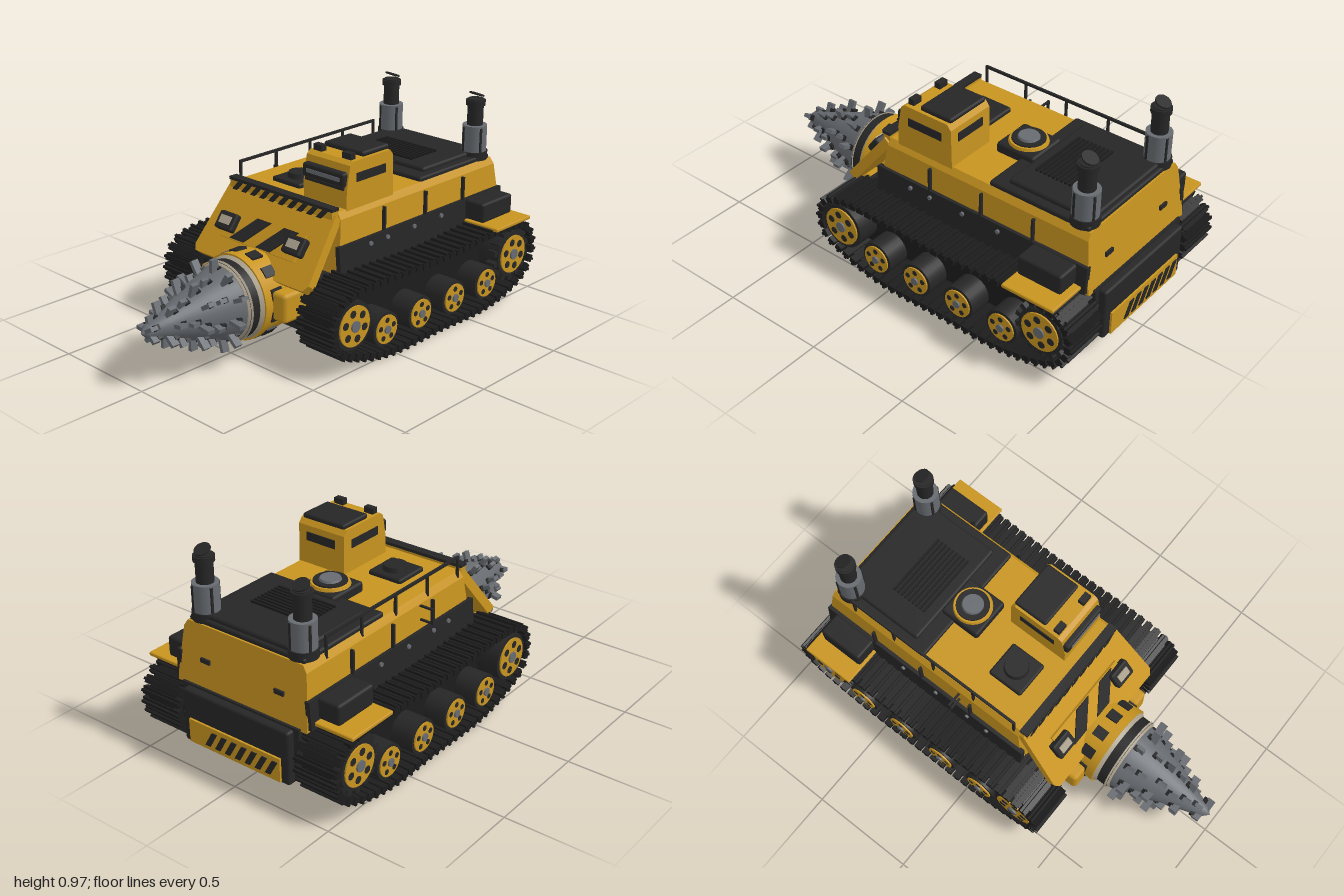
import * as THREE from 'three';
import { mergeGeometries } from 'three/addons/utils/BufferGeometryUtils.js';
import { RoundedBoxGeometry } from 'three/addons/geometries/RoundedBoxGeometry.js';

const mat = (name, color, side = THREE.FrontSide) => {
  const m = new THREE.MeshStandardMaterial({ color, side });
  m.name = name;
  return m;
};

export function createModel() {
  const yellow = mat('yellow paint', 0xc8941f);
  const black = mat('black steel', 0x262627);
  const rubber = mat('track black', 0x1c1c1d);
  const steel = mat('grey steel', 0x676b70);
  const lamp = mat('lamp glass', 0xaaa08c);
  const root = new THREE.Group();

  const add = (name, geo, m, x = 0, y = 0, z = 0, parent = root) => {
    const mesh = new THREE.Mesh(geo, m);
    mesh.name = name;
    mesh.position.set(x, y, z);
    parent.add(mesh);
    return mesh;
  };
  // box given by its limits
  const box = (name, m, x0, x1, y0, y1, z0, z1, r = 0, parent = root) => {
    const s = [x1 - x0, y1 - y0, z1 - z0];
    const g = r ? new RoundedBoxGeometry(...s, 1, r) : new THREE.BoxGeometry(...s);
    return add(name, g, m, (x0 + x1) / 2, (y0 + y1) / 2, (z0 + z1) / 2, parent);
  };
  const extrude = (pts, depth) => new THREE.ExtrudeGeometry(
    new THREE.Shape(pts.map(p => new THREE.Vector2(...p))), { depth, bevelEnabled: false });
  // side profile [z, y] extruded across x, centred
  const across = (pts, w) => extrude(pts, w).rotateY(-Math.PI / 2).translate(w / 2, 0, 0);
  const slant = (x, y, w, h, shift) => extrude([[x, y], [x + w, y], [x + w + shift, y + h], [x + shift, y + h]], 0.007);
  const cylX = (r, w, n = 24) => new THREE.CylinderGeometry(r, r, w, n).rotateZ(Math.PI / 2);
  const ring = (r0, r1, len, n = 40) => new THREE.CylinderGeometry(r1, r0, len, n).rotateX(Math.PI / 2);

  // hull: trapezoid section, ends leaning inwards
  const hullGeo = extrude([[-0.35, 0.36], [0.35, 0.36], [0.352, 0.4], [0.33, 0.61], [0.31, 0.64],
    [-0.31, 0.64], [-0.33, 0.61], [-0.352, 0.4]], 1.13).translate(0, 0, -0.94);
  const hp = hullGeo.attributes.position;
  for (let i = 0; i < hp.count; i++) {
    const k = (hp.getY(i) - 0.36) * 0.13;
    hp.setZ(i, hp.getZ(i) + (hp.getZ(i) < -0.5 ? k : -k));
  }
  hullGeo.computeVertexNormals();
  add('hull', hullGeo, yellow);
  add('belly', extrude([[-0.27, 0.105], [0.27, 0.105], [0.295, 0.13], [0.32, 0.37], [-0.32, 0.37], [-0.295, 0.13]], 1.24)
    .translate(0, 0, -0.95), black);

  // rear apron with striped plate
  box('rearApron', black, -0.29, 0.29, 0.11, 0.36, -0.985, -0.93, 0.012);
  box('rearPlate', yellow, -0.25, 0.25, 0.12, 0.23, -0.995, -0.98);
  for (let i = 0; i < 7; i++)
    add('rearStripe', slant(-0.2 + i * 0.055, 0.14, 0.028, 0.07, -0.04), black, 0, 0, -1.0);
  for (const s of [-1, 1]) box('rearLatch', black, s * 0.2 - 0.025, s * 0.2 + 0.025, 0.48, 0.5, -0.932, -0.92);

  // sloping nose plate in its own tilted frame
  const nose = new THREE.Group();
  nose.name = 'nosePlate';
  nose.position.set(0, 0.5, 0.285);
  nose.rotation.x = -0.66;
  root.add(nose);
  add('noseSheet', extrude([[-0.335, -0.18], [0.335, -0.18], [0.355, -0.15], [0.325, 0.17], [-0.325, 0.17], [-0.355, -0.15]], 0.045),
    yellow, 0, 0, -0.045, nose);
  box('nosePanel', yellow, -0.23, 0.23, -0.08, 0.05, 0, 0.012, 0, nose);
  for (const x of [-0.165, 0]) add('noseStripe', slant(x, -0.076, 0.085, 0.122, 0.105), black, 0, 0, 0.01, nose);
  for (const s of [-1, 1]) {
    box('lampHousing', black, s * 0.21 - 0.055, s * 0.21 + 0.055, -0.055, 0.03, 0, 0.04, 0.01, nose);
    box('headlamp', lamp, s * 0.21 - 0.032, s * 0.21 + 0.032, -0.03, 0.008, 0.036, 0.046, 0, nose);
  }

  // striped brow above the nose
  box('brow', yellow, -0.315, 0.315, 0.6, 0.65, 0.155, 0.195);
  box('browCap', black, -0.318, 0.318, 0.65, 0.664, 0.155, 0.198);
  for (let i = 0; i < 10; i++)
    add('browStripe', slant(-0.305 + i * 0.058, 0.602, 0.03, 0.048, 0.045), black, 0, 0, 0.193);

  // cab
  const cx = 0.188;
  add('cab', across([[0.105, 0.63], [0.105, 0.72], [0.085, 0.83], [0.065, 0.845], [-0.17, 0.845], [-0.19, 0.82], [-0.195, 0.63]], 0.255), yellow, cx);
  box('cabRoof', black, 0.07, 0.303, 0.843, 0.868, -0.18, -0.01, 0.01);
  box('cabVisor', black, 0.062, 0.308, 0.735, 0.8, 0.06, 0.118, 0.012);
  box('cabSill', black, 0.075, 0.3, 0.722, 0.735, 0.08, 0.112);
  box('visorSlit', steel, 0.09, 0.285, 0.76, 0.778, 0.115, 0.121);
  for (const x of [0.057, 0.312]) box('cabSideWindow', black, x, x + 0.007, 0.75, 0.79, -0.14, 0.045);
  box('cabRearWindow', black, 0.11, 0.27, 0.75, 0.79, -0.196, -0.188);
  for (const x of [0.1, 0.27]) box('roofLamp', black, x - 0.025, x + 0.025, 0.845, 0.873, 0.03, 0.06);

  // engine deck and grille
  box('engineDeck', black, -0.31, 0.31, 0.63, 0.66, -0.895, -0.39, 0.01);
  box('engineCover', black, -0.27, 0.27, 0.65, 0.68, -0.88, -0.46, 0.012);
  for (let i = 0; i < 9; i++)
    box('grilleSlat', rubber, -0.155, 0.155, 0.678, 0.69, -0.69 + i * 0.021, -0.679 + i * 0.021);

  // sensor dome and roof hatch
  box('domeBase', black, -0.1, 0.1, 0.63, 0.685, -0.46, -0.26, 0.012);
  add('domeCollar', new THREE.CylinderGeometry(0.085, 0.092, 0.02, 28), yellow, 0, 0.688, -0.36);
  add('domeRing', new THREE.CylinderGeometry(0.075, 0.078, 0.02, 28), black, 0, 0.695, -0.36);
  add('dome', new THREE.CylinderGeometry(0.045, 0.055, 0.02, 28), steel, 0, 0.705, -0.36);
  box('hatchBase', black, -0.19, -0.015, 0.63, 0.66, -0.12, 0.055, 0.01);
  add('hatchLid', new THREE.CylinderGeometry(0.052, 0.058, 0.025, 28), black, -0.1, 0.67, -0.035);

  // handrail on the model's right
  box('handrail', black, -0.325, -0.314, 0.71, 0.722, -0.78, 0.13);
  for (let i = 0; i < 5; i++) {
    const z = 0.125 - i * 0.225;
    box('railPost', black, -0.325, -0.314, 0.61, 0.715, z - 0.005, z + 0.005);
  }
  // side bracket with two rungs
  box('sideBracketPost', black, -0.405, -0.395, 0.54, 0.61, -0.175, -0.165);
  for (const y of [0.54, 0.605]) box('sideBracketArm', black, -0.405, -0.335, y - 0.004, y + 0.004, -0.175, -0.165);

  // exhaust stacks
  for (const s of [-1, 1]) {
    const stack = new THREE.Group();
    stack.name = 'exhaustStack';
    stack.position.set(s * 0.26, 0, -0.84);
    root.add(stack);
    const pipe = (n, m, r, y0, y1) => add(n, new THREE.CylinderGeometry(r, r, y1 - y0, 24), m, 0, (y0 + y1) / 2, 0, stack);
    pipe('stackFoot', black, 0.064, 0.64, 0.68);
    pipe('muffler', steel, 0.058, 0.67, 0.805);
    pipe('stackPipe', black, 0.038, 0.8, 0.93);
    pipe('stackCollar', black, 0.046, 0.9, 0.925);
    const flap = add('rainFlap', new THREE.CylinderGeometry(0.036, 0.036, 0.007, 20), black, 0, 0.95, -0.005, stack);
    flap.rotation.x = -0.42;
    for (let i = 0; i < 4; i++) {
      const a = i * Math.PI / 2 + 0.4;
      add('mufflerStrap', new THREE.BoxGeometry(0.012, 0.12, 0.012), black, Math.cos(a) * 0.055, 0.737, Math.sin(a) * 0.055, stack);
    }
  }

  // tracks: closed belt path [z, y], running forward along the top
  const belt = new THREE.CatmullRomCurve3([[-0.83, 0.365], [-0.3, 0.355], [0.27, 0.36], [0.365, 0.32], [0.4, 0.23], [0.37, 0.13],
    [0.27, 0.08], [0.06, 0.028], [-0.3, 0.027], [-0.65, 0.028], [-0.87, 0.085], [-0.945, 0.14], [-0.972, 0.23], [-0.935, 0.32]]
    .map(([z, y]) => new THREE.Vector3(0, y, z)), true, 'centripetal');
  const shoes = [], count = 66;
  for (let i = 0; i < count; i++) {
    const p = belt.getPointAt(i / count), t = belt.getTangentAt(i / count);
    const place = g => shoes.push(g.rotateX(Math.atan2(-t.y, t.z)).translate(0, p.y, p.z));
    place(new THREE.BoxGeometry(0.215, 0.026, 0.036));
    place(new THREE.BoxGeometry(0.215, 0.012, 0.012).translate(0, 0.019, 0));
    place(new THREE.BoxGeometry(0.15, 0.012, 0.05));
  }
  const beltGeo = mergeGeometries(shoes);
  const frame = [[0.27, 0.34], [0.34, 0.3], [0.37, 0.23], [0.34, 0.15], [0.25, 0.11], [-0.82, 0.11],
    [-0.92, 0.17], [-0.94, 0.23], [-0.9, 0.31], [-0.82, 0.34]].reverse();

  for (const s of [-1, 1]) {
    const track = new THREE.Group();
    track.name = s > 0 ? 'leftTrack' : 'rightTrack';
    root.add(track);
    add('trackBelt', beltGeo, rubber, s * 0.427, 0, 0, track);
    add('trackFrame', across(frame, 0.09), rubber, s * 0.365, 0, 0, track);
    const wheel = (name, z, y, r, hub, spots) => {
      add(name, cylX(r, 0.18), black, s * 0.43, y, z, track);
      add('hubDisc', cylX(hub, 0.012), yellow, s * 0.521, y, z, track);
      add('hubCap', cylX(hub * 0.28, 0.012, 12), steel, s * 0.529, y, z, track);
      for (let i = 0; i < spots; i++) {
        const a = i / spots * Math.PI * 2 + 0.3;
        add('hubHole', cylX(hub * 0.19, 0.006, 10), black, s * 0.526, y + Math.sin(a) * hub * 0.66, z + Math.cos(a) * hub * 0.66, track);
      }
    };
    wheel('idlerWheel', 0.275, 0.22, 0.11, 0.092, 6);
    wheel('driveWheel', -0.828, 0.225, 0.11, 0.092, 6);
    for (const z of [0.07, -0.16, -0.395, -0.63]) wheel('roadWheel', z, 0.137, 0.08, 0.066, 5);
    for (let i = 0; i < 14; i++) {
      const tooth = new THREE.BoxGeometry(0.05, 0.03, 0.025).translate(0, 0.118, 0).rotateX(i / 14 * Math.PI * 2);
      add('driveTooth', tooth, black, s * 0.49, 0.225, -0.828, track);
    }

    // side skirt, bolts and seams
    const skirt = box('sideSkirt', black, s * 0.352 - 0.012, s * 0.352 + 0.012, 0.372, 0.5, -0.93, 0.195);
    skirt.rotation.z = s * 0.08;
    for (const z of [0.0, -0.11, -0.29, -0.48]) add('skirtBolt', cylX(0.01, 0.014, 10), steel, s * 0.363, 0.47, z);
    for (const z of [-0.1, -0.38, -0.65]) box('sideSeam', black, s * 0.35 - 0.008, s * 0.35 + 0.008, 0.5, 0.61, z - 0.005, z + 0.005);

    // rear fender with tool box
    box('rearFender', yellow, s * 0.445 - 0.112, s * 0.445 + 0.112, 0.387, 0.405, -0.91, -0.65, 0.006);
    box('toolBox', black, s * 0.41 - 0.057, s * 0.41 + 0.057, 0.405, 0.5, -0.88, -0.66, 0.012);
    // drill mount blocks
    box('drillBracket', yellow, s * 0.225 - 0.042, s * 0.225 + 0.042, 0.19, 0.325, 0.28, 0.43, 0.018);
  }

  // drill head
  const drill = new THREE.Group();
  drill.name = 'drill';
  drill.position.set(0, 0.254, 0);
  root.add(drill);
  add('drillHousing', ring(0.185, 0.197, 0.19), yellow, 0, 0, 0.375, drill);
  add('housingLip', ring(0.19, 0.18, 0.02), lamp, 0, 0, 0.478, drill);
  add('drillCollar', ring(0.178, 0.178, 0.07), black, 0, 0, 0.505, drill);
  add('collarLip', ring(0.184, 0.17, 0.018), lamp, 0, 0, 0.54, drill);
  for (let i = 0; i < 12; i++)
    add('housingNotch', new THREE.BoxGeometry(0.05, 0.02, 0.06).translate(0, 0.19, 0).rotateZ((i + 0.5) / 12 * Math.PI * 2), black, 0, 0, 0.4, drill);
  const profile = [[0.168, 0.54], [0.162, 0.57], [0.115, 0.72], [0.06, 0.87], [0.03, 0.96], [0, 0.99]];
  add('drillCone', new THREE.LatheGeometry(profile.map(([r, z]) => new THREE.Vector2(r, z)), 40).rotateX(Math.PI / 2), steel, 0, 0, 0, drill);

  // cutting teeth in rings: [z, cone radius, count, length]
  for (const [row, [z, r, n, len]] of [[0.6, 0.15, 11, 0.06], [0.67, 0.13, 8, 0.03], [0.735, 0.108, 9, 0.055],
    [0.8, 0.085, 6, 0.03], [0.86, 0.063, 7, 0.04], [0.945, 0.035, 5, 0.025]].entries())
    for (let i = 0; i < n; i++) {
      const a = i / n * Math.PI * 2 + row * 0.55, dz = (i % 3 - 1) * 0.014;
      const tooth = (w, y, l, d) => new THREE.BoxGeometry(w, l, d).translate(0, y, 0).rotateZ(a);
      add('tooth', tooth(0.018, r + len / 2 - 0.015, len + 0.03, 0.036), steel, 0, 0, z + dz, drill);
      add('toothSocket', tooth(0.026, r + 0.004, 0.03, 0.022), black, 0, 0, z + dz - 0.022, drill);
    }
  return root;
}
